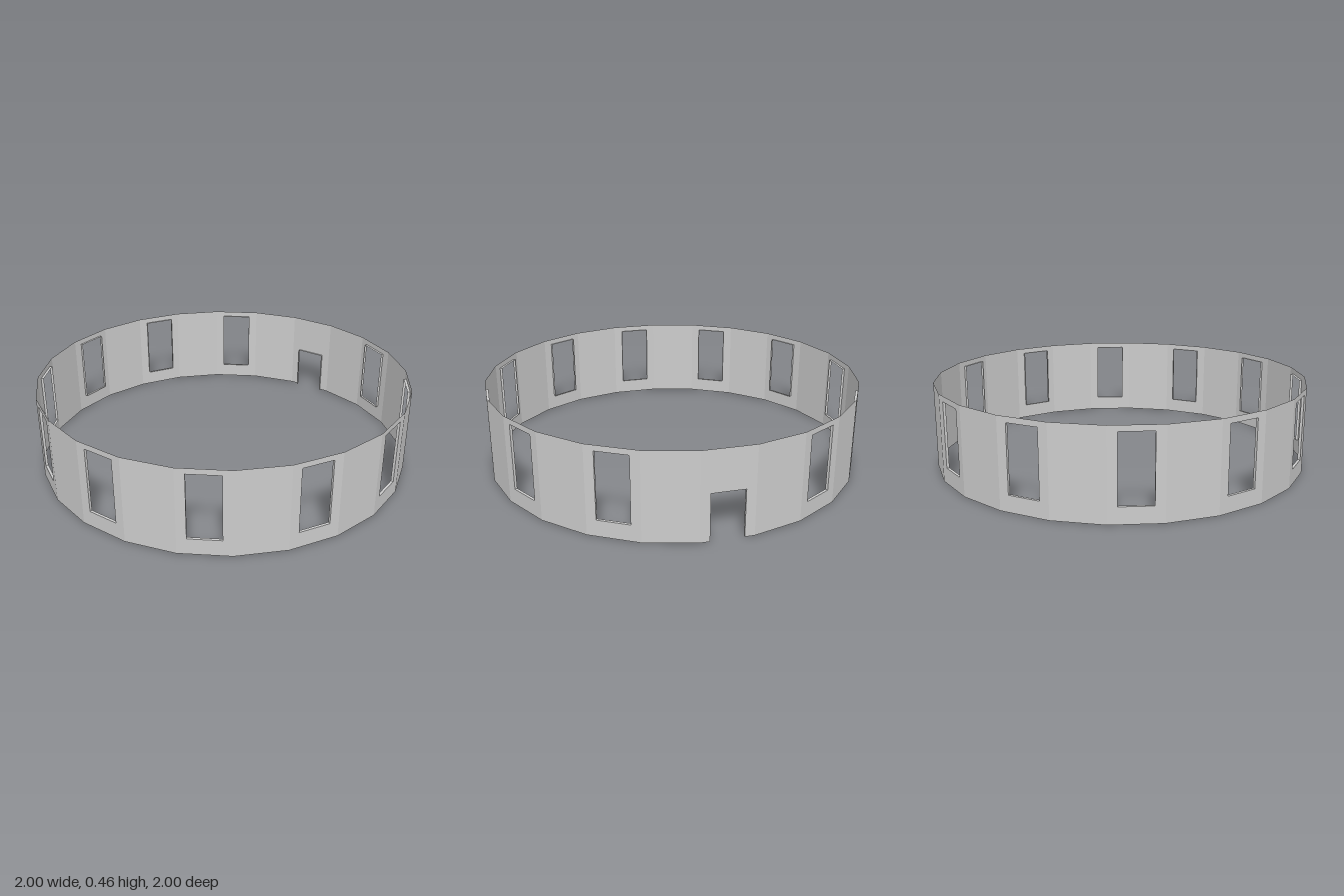
import * as THREE from 'three';

const SIDES = 24;
const HEIGHT = 0.46;
const HALF = Math.tan(Math.PI / SIDES); // half facet width at apothem 1
const OPEN = 0.083; // half opening width
const SILL = 0.085, HEAD = 0.43, DOOR = 0.245;
const DEPTH = 0.014;

const material = new THREE.MeshStandardMaterial({ color: 0xcccccc, side: THREE.DoubleSide, flatShading: true });

function shapeFrom(points) {
  return new THREE.Shape(points.map(([x, y]) => new THREE.Vector2(x, y)));
}

const rectangle = (w, y0, y1) => [[-w, y0], [w, y0], [w, y1], [-w, y1]];

// Thin reveal strips following a path of corners, running inward from the wall
function reveal(path) {
  const positions = [];
  for (let i = 0; i < path.length - 1; i++) {
    const [ax, ay] = path[i], [bx, by] = path[i + 1];
    positions.push(ax, ay, 0, bx, by, 0, bx, by, -DEPTH, ax, ay, 0, bx, by, -DEPTH, ax, ay, -DEPTH);
  }
  const geometry = new THREE.BufferGeometry();
  geometry.setAttribute('position', new THREE.Float32BufferAttribute(positions, 3));
  geometry.computeVertexNormals();
  return geometry;
}

function add(parent, geometry, name) {
  const mesh = new THREE.Mesh(geometry, material);
  mesh.name = name;
  parent.add(mesh);
}

export function createModel() {
  const model = new THREE.Group();
  model.name = 'ringWall';

  // Plain, window and door wall facets
  const plain = new THREE.ShapeGeometry(shapeFrom(rectangle(HALF, 0, HEIGHT)));

  const windowCorners = rectangle(OPEN, SILL, HEAD);
  const windowShape = shapeFrom(rectangle(HALF, 0, HEIGHT));
  windowShape.holes.push(shapeFrom(windowCorners));
  const windowWall = new THREE.ShapeGeometry(windowShape);
  const windowReveal = reveal([...windowCorners, windowCorners[0]]);

  const doorPath = [[-OPEN, 0], [-OPEN, DOOR], [OPEN, DOOR], [OPEN, 0]];
  const doorWall = new THREE.ShapeGeometry(shapeFrom([
    [-HALF, 0], ...doorPath, [HALF, 0], [HALF, HEIGHT], [-HALF, HEIGHT],
  ]));
  const doorReveal = reveal(doorPath);

  // Facets around the ring: windows on every other one, doorway at the back
  for (let i = 0; i < SIDES; i++) {
    const angle = (i / SIDES) * Math.PI * 2;
    const facet = new THREE.Group();
    facet.position.set(Math.sin(angle), 0, Math.cos(angle));
    facet.rotation.y = angle;
    if (i === SIDES / 2) {
      facet.name = 'doorFacet';
      add(facet, doorWall, 'doorWall');
      add(facet, doorReveal, 'doorReveal');
    } else if (i % 2 === 0) {
      facet.name = 'windowFacet';
      add(facet, windowWall, 'windowWall');
      add(facet, windowReveal, 'windowReveal');
    } else {
      facet.name = 'plainFacet';
      add(facet, plain, 'plainWall');
    }
    model.add(facet);
  }
  return model;
}
